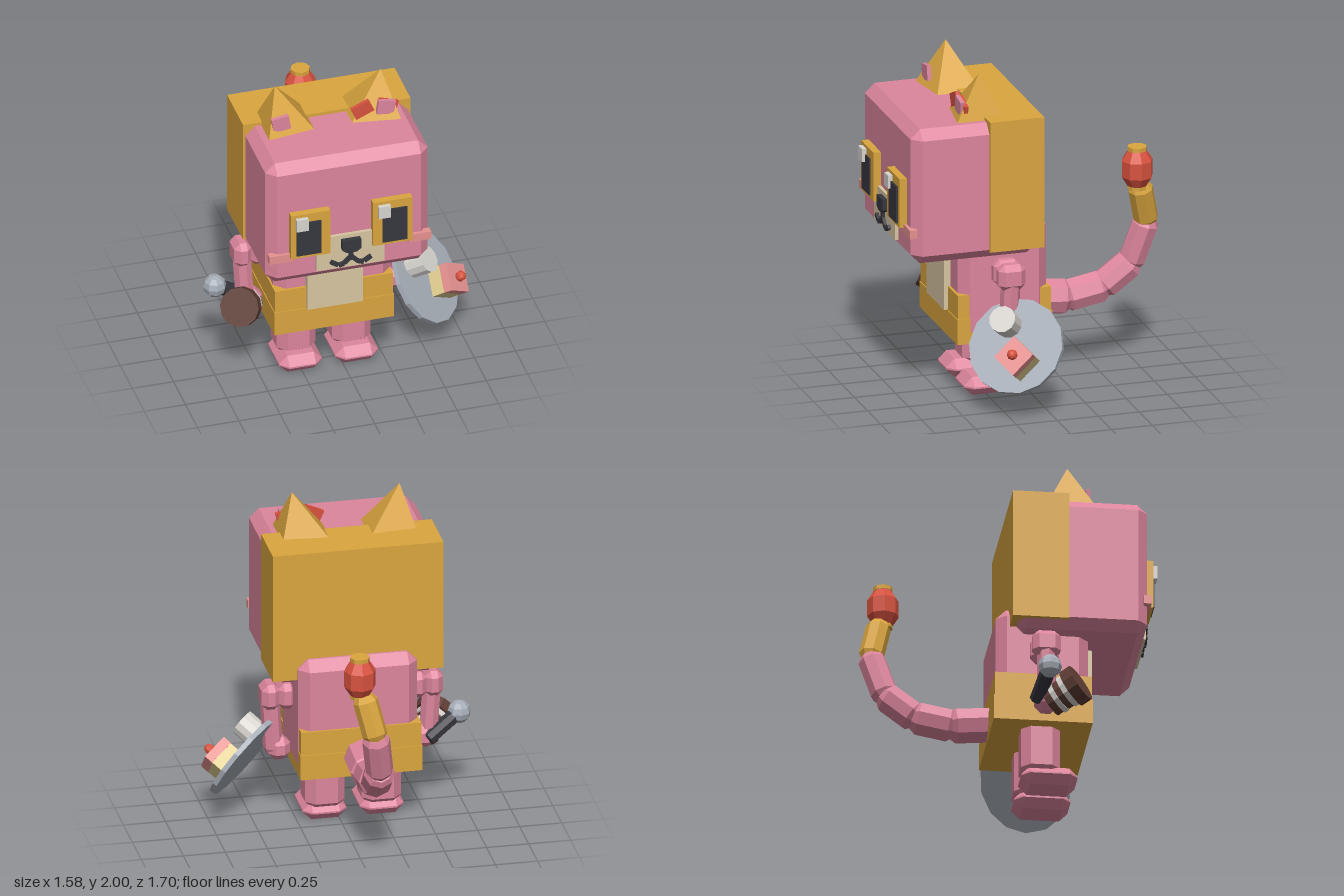
import * as THREE from 'three';
import { ConvexGeometry } from 'three/addons/geometries/ConvexGeometry.js';

const CX = -0.085; // mirror plane of the figure
const V = (x, y, z) => new THREE.Vector3(x, y, z);

export function createModel() {
  const root = new THREE.Group();
  root.name = 'catFigure';
  const colour = (name, hex) => {
    const m = new THREE.MeshStandardMaterial({ color: hex, flatShading: true });
    m.name = name;
    return m;
  };
  const pink = colour('pink', 0xdd869d);
  const gold = colour('gold', 0xdaa53f);
  const cream = colour('cream', 0xd8c6a2);
  const black = colour('black', 0x37373f);
  const red = colour('red', 0xd8523f);
  const steel = colour('steel', 0xa7aeb8);
  const white = colour('offWhite', 0xd8d5d0);
  const brown = colour('brown', 0x5e3d34);
  const salmon = colour('salmon', 0xe6928f);
  const sponge = colour('sponge', 0xe2cf92);

  const add = (name, geo, mat, parent = root) => {
    const mesh = new THREE.Mesh(geo, mat);
    mesh.name = name;
    parent.add(mesh);
    return mesh;
  };
  // box from its min and max on each axis
  const box = (name, mat, x0, x1, y0, y1, z0, z1) => {
    const m = add(name, new THREE.BoxGeometry(x1 - x0, y1 - y0, z1 - z0), mat);
    m.position.set((x0 + x1) / 2, (y0 + y1) / 2, (z0 + z1) / 2);
    return m;
  };
  // box with all edges bevelled by c
  const bevelBox = (name, mat, x0, x1, y0, y1, z0, z1, c) => {
    const w = (x1 - x0) / 2, h = (y1 - y0) / 2, d = (z1 - z0) / 2, pts = [];
    for (const i of [-1, 1]) for (const j of [-1, 1]) for (const k of [-1, 1])
      pts.push(V(i * w, j * (h - c), k * (d - c)), V(i * (w - c), j * h, k * (d - c)), V(i * (w - c), j * (h - c), k * d));
    const m = add(name, new ConvexGeometry(pts), mat);
    m.position.set((x0 + x1) / 2, (y0 + y1) / 2, (z0 + z1) / 2);
    return m;
  };
  // faceted solid of revolution standing on point a and pointing at b
  const turned = (name, mat, a, b, profile, sides = 8) => {
    const m = add(name, new THREE.LatheGeometry(profile.map(p => new THREE.Vector2(...p)), sides), mat);
    m.position.copy(a);
    m.quaternion.setFromUnitVectors(V(0, 1, 0), b.clone().sub(a).normalize());
    return m;
  };
  // bevelled rod between two points
  const rod = (name, mat, a, b, r, sides = 8, c = 0.035) => {
    const L = a.distanceTo(b);
    return turned(name, mat, a, b, [[0, 0], [r * 0.72, 0], [r, c], [r, L - c], [r * 0.72, L], [0, L]], sides);
  };

  // head and hood
  bevelBox('head', pink, -0.58, 0.405, 0.91, 1.735, 0, 0.77, 0.058);
  box('hood', gold, -0.595, 0.42, 0.955, 1.755, -0.025, 0.305);

  // torso, skirt and belly
  bevelBox('torso', pink, -0.435, 0.275, 0.365, 1.085, -0.1, 0.44, 0.06);
  box('skirtTop', gold, -0.445, 0.27, 0.505, 0.655, -0.113, 0.455);
  box('skirtBottom', gold, -0.45, 0.275, 0.355, 0.51, -0.12, 0.46);
  box('belly', cream, -0.255, 0.08, 0.51, 0.95, 0.4, 0.48);

  // face centre: muzzle, nose and mouth
  box('muzzle', cream, -0.29, 0.12, 0.985, 1.21, 0.74, 0.79);
  const noseShape = new THREE.Shape([[-0.057, 0.085], [-0.057, 0.02], [-0.03, 0], [0.03, 0], [0.057, 0.02], [0.057, 0.085]].map(p => new THREE.Vector2(...p)));
  add('nose', new THREE.ExtrudeGeometry(noseShape, { depth: 0.035, bevelEnabled: false }), black).position.set(CX, 1.1, 0.785);
  box('mouthStem', black, CX - 0.011, CX + 0.011, 1.04, 1.11, 0.785, 0.81);

  // everything mirrored left and right; d is the distance from the mirror plane
  for (const s of [-1, 1]) {
    const side = s < 0 ? 'right' : 'left';
    const mirrored = (maker, name, mat, d0, d1, ...rest) =>
      maker(side + name, mat, CX + Math.min(s * d0, s * d1), CX + Math.max(s * d0, s * d1), ...rest);

    // eyes and cheek tufts
    mirrored(box, 'EyeFrame', gold, 0.13, 0.367, 1.115, 1.415, 0.75, 0.815);
    mirrored(box, 'Pupil', black, 0.185, 0.335, 1.135, 1.36, 0.808, 0.825);
    const hx = s < 0 ? -0.425 : 0.073;
    box(side + 'EyeGlint', white, hx, hx + 0.072, 1.315, 1.395, 0.815, 0.842);
    mirrored(box, 'Cheek', salmon, 0.35, 0.49, 1.083, 1.135, 0.745, 0.79);

    // mouth curve
    for (const [x0, y0, x1, y1] of [[0.008, 1.055, 0.042, 1.02], [0.042, 1.02, 0.075, 1.01], [0.08, 1.015, 0.122, 1.042]]) {
      const bar = add(side + 'MouthBar', new THREE.BoxGeometry(Math.hypot(x1 - x0, y1 - y0), 0.024, 0.025), black);
      bar.position.set(CX + s * (x0 + x1) / 2, (y0 + y1) / 2, 0.797);
      bar.rotation.z = s * Math.atan2(y1 - y0, x1 - x0);
    }

    // ears
    add(side + 'Ear', new ConvexGeometry([
      V(CX + s * 0.32, 2, 0.315), V(CX + s * 0.115, 1.735, 0.165), V(CX + s * 0.115, 1.735, 0.43),
      V(CX + s * 0.4, 1.735, 0.19), V(CX + s * 0.4, 1.735, 0.472)]), gold);
    const inner = add(side + 'InnerEar', new THREE.BoxGeometry(0.105, 0.09, 0.025), pink);
    inner.position.set(CX + s * 0.318, 1.812, 0.432);
    inner.rotation.z = -s * 0.16;

    // legs and feet
    mirrored(bevelBox, 'Leg', pink, 0.05, 0.285, 0.06, 0.45, 0.055, 0.285, 0.052);
    mirrored(bevelBox, 'Foot', pink, 0.04, 0.3, 0, 0.11, 0.055, 0.385, 0.05);

    // shoulders, arms and hands
    mirrored(bevelBox, 'Shoulder', pink, 0.335, 0.445, 0.71, 0.868, 0.09, 0.255, 0.035);
    mirrored(bevelBox, 'UpperArm', pink, 0.43, 0.54, 0.71, 0.868, 0.09, 0.255, 0.035);
    rod(side + 'Forearm', pink, V(CX + s * 0.485, 0.82, 0.172), V(CX + s * 0.46, 0.42, 0.18), 0.058);
    mirrored(bevelBox, 'Hand', pink, 0.365, 0.495, 0.38, 0.52, 0.11, 0.245, 0.04);
  }

  // bow by the left ear
  for (const [x, tilt] of [[0.095, 0.42], [0.245, -0.3]]) {
    const wing = add('bowLoop', new THREE.BoxGeometry(0.12, 0.08, 0.025), red);
    wing.position.set(x, 1.808, 0.415);
    wing.rotation.z = tilt;
  }

  // tail with a gold tip and a lantern
  const path = [V(-0.09, 0.48, -0.06), V(-0.09, 0.457, -0.32), V(-0.085, 0.5, -0.54), V(-0.07, 0.635, -0.71), V(-0.03, 0.895, -0.79), V(0.025, 1.13, -0.735)];
  [0.108, 0.1, 0.092, 0.082, 0.074].forEach((r, i) => {
    const dir = path[i + 1].clone().sub(path[i]).normalize().multiplyScalar(0.015);
    rod(i < 4 ? 'tailLink' : 'tailTip', i < 4 ? pink : gold, path[i].clone().sub(dir), path[i + 1].clone().add(dir), r);
  });
  const lamp = (y) => V(0.048, y, -0.71);
  turned('lantern', red, lamp(1.14), lamp(2), [[0, 0], [0.055, 0], [0.093, 0.06], [0.093, 0.16], [0.055, 0.22], [0, 0.22]]);
  for (const y of [1.135, 1.372])
    add('lanternCap', new THREE.CylinderGeometry(0.058, 0.058, 0.025, 8), gold).position.copy(lamp(y));

  // serving plate, tilted on its own axes
  const plate = new THREE.Group();
  plate.name = 'servingPlate';
  const n = V(0.65, 0.54, 0.53).normalize();
  const e = V(0.756, -0.476, -0.44).addScaledVector(n, -n.dot(V(0.756, -0.476, -0.44))).normalize();
  plate.quaternion.setFromRotationMatrix(new THREE.Matrix4().makeBasis(e, n, e.clone().cross(n)));
  plate.position.set(0.545, 0.407, 0.185);
  root.add(plate);
  add('plateDisc', new THREE.CylinderGeometry(0.288, 0.288, 0.03, 14), steel, plate);
  add('cup', new THREE.CylinderGeometry(0.08, 0.08, 0.13, 12), white, plate).position.set(-0.125, 0.075, -0.06);
  add('cakeBase', new THREE.BoxGeometry(0.165, 0.09, 0.165), sponge, plate).position.set(0.095, 0.058, 0.045);
  add('cakeIcing', new THREE.BoxGeometry(0.168, 0.055, 0.168), salmon, plate).position.set(0.095, 0.13, 0.045);
  add('cherry', new THREE.SphereGeometry(0.032, 8, 6), red, plate).position.set(0.095, 0.18, 0.045);

  // banded mallet head in the right hand
  const back = V(-0.53, 0.43, 0.2), front = V(-0.635, 0.525, 0.365);
  for (const [name, mat, t0, t1, r] of [
    ['malletBack', brown, 0, 0.2, 0.085], ['malletBackBand', white, 0.2, 0.34, 0.095], ['malletMiddle', brown, 0.34, 0.52, 0.09],
    ['malletFrontBand', white, 0.52, 0.68, 0.1], ['malletFace', brown, 0.68, 1, 0.117]]) {
    const a = back.clone().lerp(front, t0), b = back.clone().lerp(front, t1), L = a.distanceTo(b);
    turned(name, mat, a, b, [[0, 0], [r, 0], [r, L], [0, L]], 12);
  }
  // handle and round pommel
  rod('malletHandle', black, V(-0.53, 0.44, 0.12), V(-0.72, 0.57, 0.172), 0.045, 8, 0.01);
  add('pommel', new THREE.SphereGeometry(0.07, 8, 6), steel).position.set(-0.73, 0.575, 0.175);

  return root;
}
